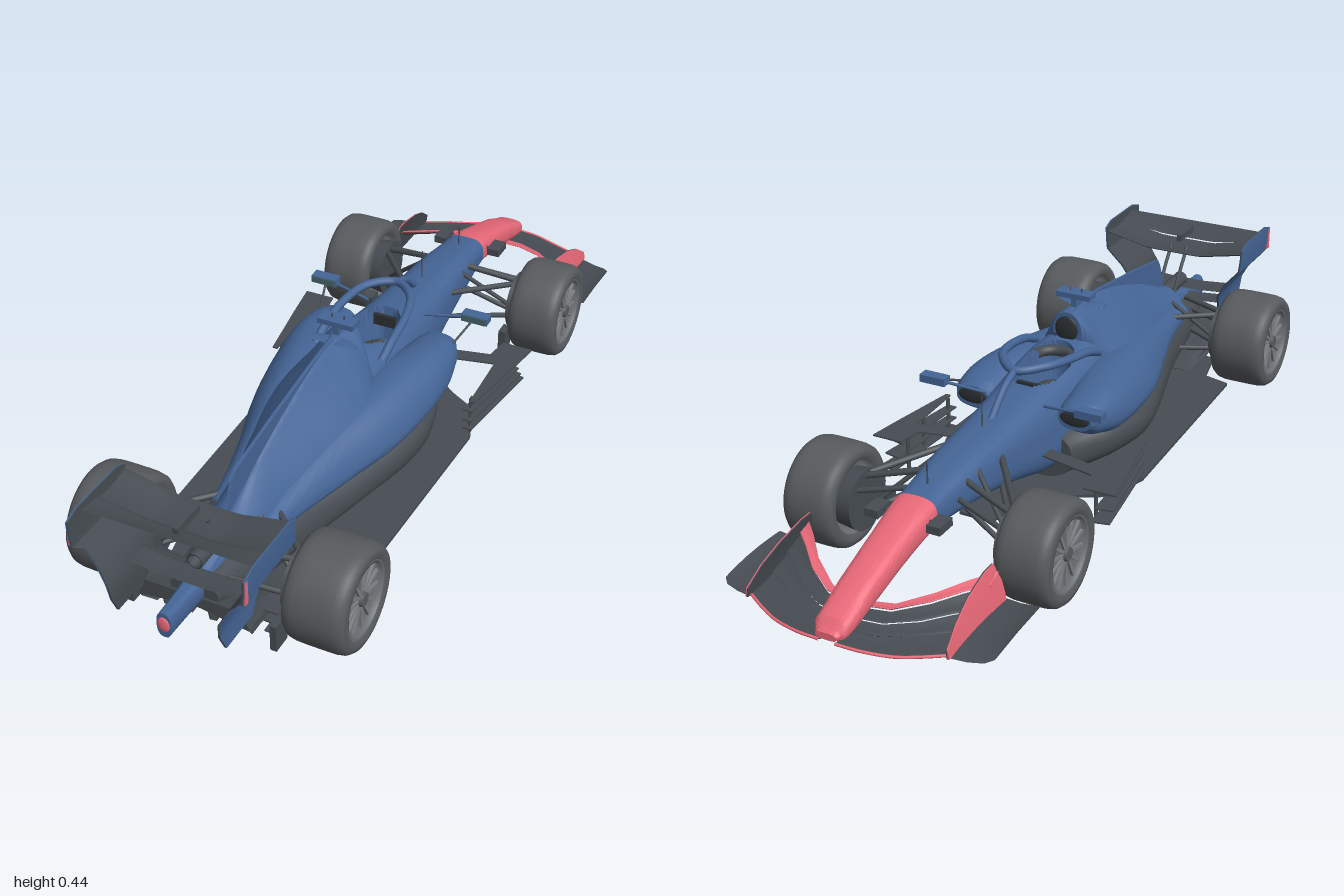
import * as THREE from 'three';
import { toCreasedNormals } from 'three/addons/utils/BufferGeometryUtils.js';

const V = (x, y, z) => new THREE.Vector3(x, y, z);
const mat = (color) => new THREE.MeshStandardMaterial({ color });
const BLUE = mat(0x456596), RED = mat(0xe86878), CARBON = mat(0x464c52), TYRE = mat(0x585b5e),
  RIM = mat(0x7c8084), GLASS = mat(0x466468), DARK = mat(0x2c3034);
const BARREL = new THREE.MeshStandardMaterial({ color: 0x6c7074, side: THREE.DoubleSide });

function add(parent, name, geo, material, pos) {
  const m = new THREE.Mesh(geo, material);
  m.name = name;
  if (pos) m.position.set(...pos);
  parent.add(m);
  return m;
}
const box = (w, h, d) => new THREE.BoxGeometry(w, h, d);

// Closed skin through equal-length rings, capped at both ends, always facing outwards
function loft(rings, crease = 0.7) {
  const n = rings[0].length, pts = rings.flat(), idx = [];
  for (let i = 0; i < rings.length - 1; i++) for (let j = 0; j < n; j++) {
    const a = i * n + j, b = i * n + (j + 1) % n;
    idx.push(a, b, a + n, b, b + n, a + n);
  }
  [0, rings.length - 1].forEach((r, end) => {
    const c = pts.length;
    pts.push(rings[r].reduce((s, p) => s.add(p), V(0, 0, 0)).divideScalar(n));
    for (let j = 0; j < n; j++) {
      const a = r * n + j, b = r * n + (j + 1) % n;
      idx.push(c, end ? a : b, end ? b : a);
    }
  });
  let vol = 0;
  for (let i = 0; i < idx.length; i += 3) {
    vol += pts[idx[i]].dot(V(0, 0, 0).crossVectors(pts[idx[i + 1]], pts[idx[i + 2]]));
  }
  if (vol < 0) idx.reverse();
  const g = new THREE.BufferGeometry().setFromPoints(pts);
  g.setIndex(idx);
  return toCreasedNormals(g, crease);
}

// Body skin: stations [z, centre x, half width, bottom, top, taper], smoothed along z
function body(st, { steps = 40, power = 2.6, n = 40, rule } = {}) {
  const at = (u, k) => {
    const f = u * (st.length - 1), i = Math.min(Math.floor(f), st.length - 2), t = f - i;
    const [p0, p1, p2, p3] = [-1, 0, 1, 2].map(d => st[THREE.MathUtils.clamp(i + d, 0, st.length - 1)][k]);
    const m1 = (p2 - p0) / 2, m2 = (p3 - p1) / 2;
    return k ? (2 * t ** 3 - 3 * t * t + 1) * p1 + (t ** 3 - 2 * t * t + t) * m1
      + (3 * t * t - 2 * t ** 3) * p2 + (t ** 3 - t * t) * m2 : p1 + (p2 - p1) * t;
  };
  const rings = [];
  for (let i = 0; i <= steps; i++) {
    const [z, cx, w, b, t, tp] = [0, 1, 2, 3, 4, 5].map(k => at(i / steps, k));
    rings.push(Array.from({ length: n }, (_, j) => {
      const a = j / n * Math.PI * 2, c = Math.cos(a), s = Math.sin(a);
      const px = Math.sign(c) * Math.abs(c) ** (2 / power), py = Math.sign(s) * Math.abs(s) ** (2 / power);
      const p = V(cx + w * px * (1 - tp * (py + 1) / 2), (b + t) / 2 + (t - b) / 2 * py, z);
      if (rule) rule(p, py);
      return p;
    }));
  }
  return loft(rings);
}

// Wing element: stations [x, front z, front y, back z, back y] with a thin aerofoil section
function wing(st, thick = 0.008, camber = 0.006) {
  return loft(st.map(([x, z0, y0, z1, y1]) => Array.from({ length: 14 }, (_, j) => {
    const a = j / 14 * Math.PI * 2, t = (1 - Math.cos(a)) / 2;
    return V(x, y0 + (y1 - y0) * t - camber * Math.sin(Math.PI * t) + Math.sin(a) * thick * (1 - t * 0.7) / 2, z0 + (z1 - z0) * t);
  })));
}
// Thin upright panel: levels [x, y, front z, back z]
const panel = (levels, off = 0, th = 0.003) => loft(levels.map(([x, y, a, b]) => {
  const o = x + off * Math.sign(x);
  return [V(o - th / 2, y, a), V(o + th / 2, y, a), V(o + th / 2, y, b), V(o - th / 2, y, b)];
}), 0.4);
// Flat plate cut from an x,z outline
function plate(pts, y, h) {
  const s = new THREE.Shape(pts.map(([x, z]) => new THREE.Vector2(x, -z)));
  return new THREE.ExtrudeGeometry(s, { depth: h, bevelEnabled: false }).rotateX(-Math.PI / 2).translate(0, y, 0);
}
// Rod between two points
function rod(parent, name, a, b, r = 0.005, material = CARBON) {
  const p = V(...a), q = V(...b), d = q.clone().sub(p);
  const m = add(parent, name, new THREE.CylinderGeometry(r, r, d.length(), 8), material);
  m.position.copy(p).add(q).multiplyScalar(0.5);
  m.quaternion.setFromUnitVectors(V(0, 1, 0), d.normalize());
}
const tube = (pts, r, seg = 40) =>
  new THREE.TubeGeometry(new THREE.CatmullRomCurve3(pts.map(p => V(...p))), seg, r, 10);
const lathe = (pts, seg = 48) => new THREE.LatheGeometry(pts.map(p => new THREE.Vector2(...p)), seg);

// Wheel: axle on y, outer face at +y, turned onto x afterwards
function wheel(name, r, w, side) {
  const g = new THREE.Group(), h = w / 2, ri = r * 0.7;
  g.name = name;
  add(g, 'tyre', lathe([[ri, -h * 0.9], [r * 0.8, -h], [r * 0.91, -h * 0.95], [r * 0.97, -h * 0.82], [r * 0.995, -h * 0.6], [r, -h * 0.3],
    [r, h * 0.3], [r * 0.995, h * 0.6], [r * 0.97, h * 0.82], [r * 0.91, h * 0.95], [r * 0.8, h], [ri, h * 0.9]]), TYRE);
  add(g, 'rimBack', lathe([[0.001, -h * 0.6], [ri * 0.9, -h * 0.6], [ri * 1.02, -h * 0.9]]), BARREL);
  add(g, 'rimFront', lathe([[ri * 1.02, h * 0.92], [ri * 0.93, h * 0.92], [ri * 0.9, h * 0.7], [0.001, h * 0.73]]), BARREL);
  for (let i = 0; i < 14; i++) {
    const a = i / 14 * Math.PI * 2;
    add(g, 'spoke', box(ri * 0.85, 0.007, 0.007), RIM, [Math.cos(a) * ri * 0.5, h * 0.75, Math.sin(a) * ri * 0.5]).rotation.y = -a;
  }
  add(g, 'hub', new THREE.CylinderGeometry(0.016, 0.02, h * 0.3, 20), TYRE, [0, h * 0.75, 0]);
  g.rotation.z = -side * Math.PI / 2;
  return g;
}

export function createModel() {
  const car = new THREE.Group();
  car.name = 'racingCar';

  // Nose and chassis with a sunken cockpit
  add(car, 'nose', body([[-0.998, 0, 0.026, 0.078, 0.095, 0], [-0.975, 0, 0.042, 0.074, 0.117, 0.05], [-0.88, 0, 0.046, 0.095, 0.16, 0.05],
    [-0.75, 0, 0.05, 0.13, 0.203, 0.05], [-0.63, 0, 0.056, 0.155, 0.236, 0.05]], { power: 3 }), RED);
  const sink = (p, up) => {
    const d = (p.x / 0.062) ** 2 + ((p.z + 0.02) / 0.11) ** 2;
    if (up > 0 && d < 1) p.y -= 0.13 * Math.min(1, (1 - d) * 4);
  };
  add(car, 'chassis', body([[-0.63, 0, 0.056, 0.155, 0.236, 0.05], [-0.45, 0, 0.074, 0.14, 0.26, 0.1], [-0.3, 0, 0.086, 0.11, 0.272, 0.1],
    [-0.15, 0, 0.105, 0.07, 0.29, 0.15], [0.02, 0, 0.125, 0.06, 0.312, 0.2], [0.14, 0, 0.13, 0.06, 0.322, 0.3], [0.3, 0, 0.1, 0.06, 0.3, 0.4]],
  { steps: 110, n: 90, power: 3, rule: sink }), BLUE);
  add(car, 'seat', new THREE.SphereGeometry(1, 24, 12).scale(0.05, 0.04, 0.085), CARBON, [0, 0.2, -0.01]);
  add(car, 'headrest', new THREE.TorusGeometry(0.052, 0.014, 10, 24, Math.PI).rotateX(Math.PI / 2), CARBON, [0, 0.295, 0.03]);
  add(car, 'steeringWheel', box(0.06, 0.03, 0.01), DARK, [0, 0.27, -0.1]);

  // Engine cover flowing into the sidepods, air intake and dorsal fin
  add(car, 'engineCover', body([[0.11, 0, 0.045, 0.3, 0.39, 0.2], [0.15, 0, 0.12, 0.2, 0.393, 0.65], [0.22, 0, 0.2, 0.145, 0.391, 0.86], [0.3, 0, 0.203, 0.14, 0.382, 0.9],
    [0.42, 0, 0.163, 0.14, 0.352, 0.88], [0.57, 0, 0.113, 0.14, 0.3, 0.8], [0.72, 0, 0.088, 0.14, 0.24, 0.5]], { power: 2.2, steps: 60 }), BLUE);
  add(car, 'airIntake', new THREE.SphereGeometry(1, 24, 12).scale(0.032, 0.034, 0.008), DARK, [0, 0.347, 0.107]);
  const fin = new THREE.Shape([[0.2, 0.37], [0.2, 0.394], [0.3, 0.388], [0.5, 0.362], [0.67, 0.335], [0.685, 0.315], [0.72, 0.23], [0.5, 0.25]].map(p => new THREE.Vector2(...p)));
  add(car, 'dorsalFin', new THREE.ExtrudeGeometry(fin, { depth: 0.008, bevelEnabled: false }).rotateY(-Math.PI / 2).translate(0.004, 0, 0), BLUE);
  add(car, 'cameraMast', box(0.014, 0.04, 0.03), BLUE, [0, 0.403, 0.16]);
  add(car, 'cameraBar', box(0.094, 0.014, 0.04), BLUE, [0, 0.423, 0.16]);
  for (const x of [-0.016, 0.016]) rod(car, 'antenna', [x, 0.428, 0.16], [x, 0.44, 0.16], 0.0015);

  // Halo
  add(car, 'halo', tube([[0.09, 0.3, 0.11], [0.09, 0.325, 0.05], [0.085, 0.342, -0.04], [0.06, 0.35, -0.12], [0, 0.347, -0.17],
    [-0.06, 0.35, -0.12], [-0.085, 0.342, -0.04], [-0.09, 0.325, 0.05], [-0.09, 0.3, 0.11]], 0.011, 60), BLUE);
  add(car, 'haloPillar', tube([[0, 0.347, -0.17], [0, 0.325, -0.22], [0, 0.265, -0.29]], 0.009, 16), BLUE);
  rod(car, 'mast', [0, 0.27, -0.33], [0, 0.35, -0.33], 0.0015);
  rod(car, 'pitot', [0, 0.24, -0.58], [0, 0.295, -0.58], 0.002);

  // Floor with a narrow front tray, plank, lower bodywork and diffuser
  const half = [[0.045, -0.37], [0.075, -0.24], [0.17, -0.17], [0.24, -0.13], [0.278, -0.02], [0.262, 0.58], [0.19, 0.6], [0.165, 0.72]];
  add(car, 'floor', plate([...half, ...half.map(([x, z]) => [-x, z]).reverse()], 0.04, 0.008), CARBON);
  add(car, 'plank', box(0.09, 0.008, 1.0), DARK, [0, 0.037, 0.2]);
  add(car, 'lowerBody', body([[-0.12, 0, 0.13, 0.045, 0.18, 0], [0, 0, 0.185, 0.045, 0.19, -0.1], [0.15, 0, 0.215, 0.045, 0.185, 0], [0.35, 0, 0.175, 0.045, 0.18, 0.05], [0.55, 0, 0.125, 0.045, 0.18, 0.2],
    [0.75, 0, 0.09, 0.06, 0.18, 0.3], [0.86, 0, 0.06, 0.1, 0.17, 0]]), CARBON);
  add(car, 'diffuser', loft([[0.6, 0.042, 0.042], [0.72, 0.065, 0.045], [0.8, 0.1, 0.065], [0.87, 0.125, 0.085]].map(([z, y, lip]) =>
    [V(-0.135, lip, z), V(-0.115, y, z), V(0.115, y, z), V(0.135, lip, z), V(0.141, lip, z), V(0.12, y + 0.008, z), V(-0.12, y + 0.008, z), V(-0.141, lip, z)])), CARBON);
  for (const x of [-0.138, -0.08, -0.035, 0.035, 0.08, 0.138]) {
    const outer = Math.abs(x) > 0.1;
    add(car, 'diffuserFence', panel([[x * 0.88, 0.038, 0.62, 0.83], [x, 0.07, 0.72, 0.86], [x, outer ? 0.09 : 0.125, 0.84, 0.87]]), CARBON);
  }

  // Tail: crash structure, light and exhaust
  add(car, 'crashStructure', body([[0.7, 0, 0.04, 0.12, 0.22, 0], [0.85, 0, 0.025, 0.115, 0.185, 0], [0.985, 0, 0.018, 0.112, 0.178, 0]], { steps: 10 }), BLUE);
  add(car, 'tailLight', new THREE.SphereGeometry(1, 20, 12).scale(0.015, 0.02, 0.005), RED, [0, 0.147, 0.985]);
  add(car, 'exhaust', lathe([[0.02, 0], [0.02, 0.16], [0.016, 0.16], [0.016, 0.1], [0.001, 0.1]], 24).rotateX(Math.PI / 2), CARBON, [0, 0.216, 0.69]);

  // Rear wing and beam wing, dipping towards the middle
  const span = (w, f) => Array.from({ length: 21 }, (_, i) => { const u = i / 10 - 1; return [u * w, ...f(Math.min(1, (1 - Math.abs(u)) * 1.6))]; });
  add(car, 'rearWingMain', wing(span(0.208, c => [0.78, 0.35 - 0.028 * c, 0.895, 0.348 - 0.026 * c]), 0.012, 0.011), CARBON);
  add(car, 'rearWingFlap', wing(span(0.208, c => [0.885, 0.348 - 0.018 * c, 0.95, 0.36]), 0.008, 0.004), CARBON);
  add(car, 'beamWing', wing(span(0.138, c => [0.84, 0.2 - 0.008 * c, 0.9, 0.206 - 0.008 * c]), 0.006, 0.003), CARBON);
  add(car, 'beamWing', wing(span(0.136, c => [0.82, 0.175 - 0.008 * c, 0.87, 0.181 - 0.008 * c]), 0.006, 0.003), CARBON);
  add(car, 'flapActuator', box(0.014, 0.018, 0.09), CARBON, [0, 0.348, 0.87]);

  for (const s of [-1, 1]) {
    const side = new THREE.Group();
    side.name = s > 0 ? 'leftSide' : 'rightSide';
    car.add(side);
    const flip = (rows) => rows.map(([x, ...r]) => [x * s, ...r]);

    // Sidepod with slot intake, intake winglet, mirror
    add(side, 'sidepod', body([[-0.13, 0.142, 0.045, 0.2, 0.256, 0], [-0.1, 0.145, 0.06, 0.18, 0.266, 0.05], [-0.02, 0.142, 0.083, 0.155, 0.28, 0.2], [0.1, 0.12, 0.115, 0.148, 0.283, 0.4],
      [0.25, 0.1, 0.115, 0.14, 0.272, 0.5], [0.42, 0.075, 0.083, 0.14, 0.248, 0.5], [0.57, 0.055, 0.055, 0.145, 0.22, 0.3], [0.71, 0.045, 0.042, 0.15, 0.2, 0.1]].map(([z, x, ...r]) => [z, x * s, ...r]), { power: 2.4 }), BLUE);
    add(side, 'sidepodIntake', new THREE.SphereGeometry(1, 20, 10).scale(0.04, 0.02, 0.005), DARK, [s * 0.142, 0.23, -0.13]);
    add(side, 'intakeWinglet', wing(flip([[0.01, 0.17, 0.385, 0.21, 0.387], [0.045, 0.18, 0.388, 0.21, 0.39], [0.065, 0.19, 0.386, 0.21, 0.388]]), 0.004, 0), BLUE);
    add(side, 'mirror', box(0.07, 0.02, 0.03), BLUE, [s * 0.213, 0.287, -0.19]);
    add(side, 'mirrorGlass', box(0.066, 0.017, 0.004), GLASS, [s * 0.213, 0.287, -0.174]);
    rod(side, 'mirrorStalk', [s * 0.08, 0.27, -0.17], [s * 0.2, 0.285, -0.19], 0.004, BLUE);
    rod(side, 'mirrorStalk', [s * 0.18, 0.24, -0.08], [s * 0.21, 0.285, -0.185], 0.003);

    // Turning vanes ahead of the sidepod
    add(side, 'vane', plate(flip([[0.33, -0.3], [0.25, -0.3], [0.24, -0.235], [0.08, -0.2], [0.08, -0.16], [0.24, -0.195], [0.265, -0.2], [0.272, -0.02], [0.285, -0.02], [0.315, -0.2]]), 0.15, 0.004), CARBON);
    [0.065, 0.09, 0.12].forEach((y, i) => add(side, 'slat',
      plate(flip([[0.315, -0.29 + i * 0.02], [0.27, -0.3 + i * 0.02], [0.255, -0.02], [0.28, -0.02]]), y, 0.004), CARBON));
    for (const [x, z] of [[0.26, -0.25], [0.268, -0.04], [0.275, -0.15]]) add(side, 'vaneBlade', box(0.004, 0.11, 0.014), CARBON, [s * x, 0.097, z]);

    // Rear wing endplate, blue outside and dark inside
    const ep = flip([[0.135, 0.115, 0.85, 0.96], [0.134, 0.16, 0.82, 0.98], [0.138, 0.2, 0.8, 0.985], [0.162, 0.245, 0.79, 0.98], [0.195, 0.28, 0.785, 0.975],
      [0.206, 0.295, 0.78, 1], [0.21, 0.33, 0.78, 1], [0.211, 0.36, 0.78, 1], [0.211, 0.372, 0.81, 0.96]]);
    add(side, 'endplateOuter', panel(ep), BLUE);
    add(side, 'endplateInner', panel(ep, -0.003), CARBON);
    add(side, 'endplateEdge', box(0.005, 0.06, 0.012), RED, [s * 0.21, 0.328, 0.993]);
    add(side, 'wingPylon', tube([[s * 0.022, 0.19, 0.74], [s * 0.024, 0.26, 0.78], [s * 0.024, 0.325, 0.83]], 0.005, 16), CARBON);

    // Front wing: four stacked elements, endplate, footplate
    const k = (a, b, t) => a + (b - a) * t;
    const chord = [[0.02, -0.995, 0.072, -0.86, 0.1], [0.08, -0.99, 0.07, -0.85, 0.105], [0.15, -0.97, 0.066, -0.8, 0.125], [0.2, -0.947, 0.068, -0.745, 0.14], [0.247, -0.92, 0.07, -0.7, 0.15]];
    [[0, 0.38], [0.36, 0.62], [0.6, 0.86], [0.84, 1]].forEach(([a, b], i) => add(side, 'frontWingElement',
      wing(flip(chord.map(([x, z0, y0, z1, y1]) => [x, k(z0, z1, a), k(y0, y1, a * a) + i * 0.003, k(z0, z1, b), k(y0, y1, b * b)])), 0.007, 0.004), i === 3 ? RED : CARBON));
    add(side, 'frontWingTrim', tube(chord.map(([x, z, y]) => [s * x, y, z]), 0.0035, 24), RED);
    const fe = flip([[0.255, 0.068, -0.93, -0.685], [0.252, 0.09, -0.93, -0.685], [0.246, 0.125, -0.88, -0.69], [0.24, 0.15, -0.82, -0.7], [0.236, 0.168, -0.74, -0.705]]);
    add(side, 'frontEndplateOuter', panel(fe), RED);
    add(side, 'frontEndplateInner', panel(fe, -0.003), CARBON);
    add(side, 'footplate', wing(flip([[0.25, -0.925, 0.068, -0.68, 0.072], [0.29, -0.915, 0.064, -0.68, 0.07], [0.325, -0.905, 0.066, -0.68, 0.074], [0.34, -0.89, 0.07, -0.685, 0.08]]), 0.008, -0.005), CARBON);
    add(side, 'nosePod', box(0.035, 0.02, 0.055), CARBON, [s * 0.08, 0.2, -0.665]);
    rod(side, 'nosePodStalk', [s * 0.04, 0.2, -0.66], [s * 0.07, 0.2, -0.66], 0.004);

    // Wheels, brake drums and suspension
    for (const [name, z, r, w, x] of [['front', -0.545, 0.128, 0.137, 0.277], ['rear', 0.72, 0.13, 0.155, 0.2735]]) {
      const front = name === 'front', wh = wheel(name + 'Wheel', r, w, s), xi = x - w / 2;
      wh.position.set(s * x, r + 0.004, z);
      side.add(wh);
      add(side, name + 'BrakeDrum', new THREE.CylinderGeometry(r * 0.6, r * 0.55, 0.05, 32).rotateZ(s * Math.PI / 2), CARBON, [s * (xi + 0.005), r + 0.004, z]);
      const inX = 0.055, za = z - (front ? -0.04 : 0.13), zb = z + (front ? 0.2 : 0.04), top = front ? 0.225 : 0.2;
      for (const zi of [za, zb]) {
        rod(side, name + 'UpperArm', [s * inX, top, zi], [s * xi, 0.19, z], 0.008);
        rod(side, name + 'LowerArm', [s * inX, front ? 0.155 : 0.11, zi], [s * xi, 0.085, z], 0.007);
      }
      rod(side, name + 'PushRod', [s * inX, front ? 0.235 : 0.22, z + (front ? 0.09 : -0.06)], [s * xi, 0.09, z], 0.006);
      rod(side, name + 'TrackRod', [s * inX, front ? 0.2 : 0.15, z + (front ? 0 : 0.08)], [s * xi, front ? 0.17 : 0.13, z + (front ? -0.04 : 0.05)], 0.007);
    }
    add(side, 'brakeWinglet', box(0.016, 0.07, 0.05), CARBON, [s * 0.182, 0.06, 0.82]);
    for (const y of [0.06, 0.09, 0.12]) add(side, 'brakeFin', box(0.035, 0.004, 0.06), CARBON, [s * 0.17, y, 0.8]);
    add(side, 'frontBrakeScoop', box(0.02, 0.06, 0.04), CARBON, [s * 0.2, 0.07, -0.44]);
  }
  return car;
}
